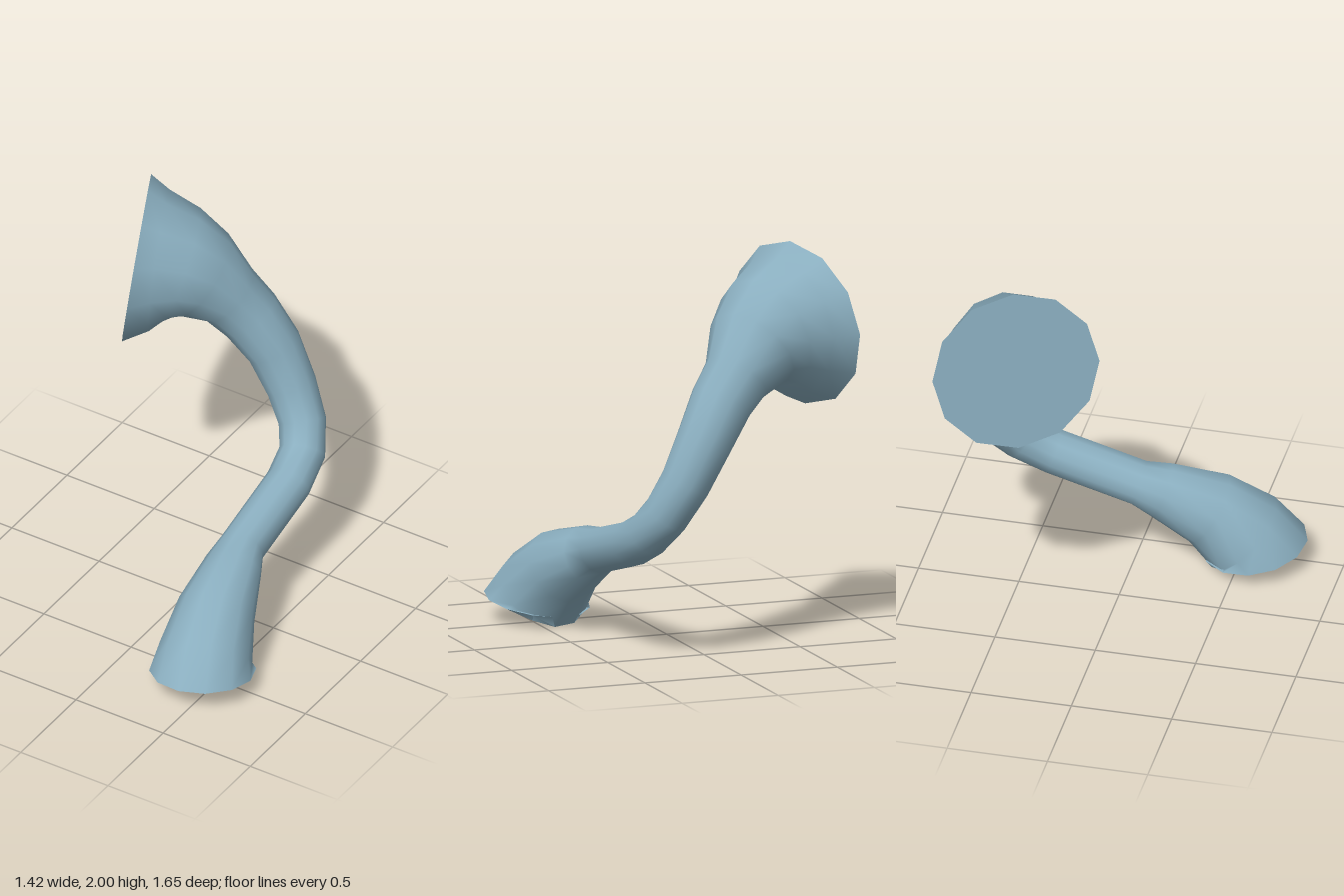
import * as THREE from 'three';

const SIDES = 12;

// Rings from the upper flare to the lower flare: x, y, z, radius
const RINGS = [
  [-0.53, 1.585, -0.388, 0.415],
  [-0.43, 1.58, -0.435, 0.35],
  [-0.33, 1.565, -0.48, 0.292],
  [-0.24, 1.51, -0.53, 0.235],
  [-0.13, 1.385, -0.6, 0.168],
  [-0.035, 1.275, -0.64, 0.155],
  [0.07, 1.1, -0.685, 0.14],
  [0.17, 0.9, -0.687, 0.126],
  [0.255, 0.745, -0.65, 0.118],
  [0.312, 0.635, -0.56, 0.114],
  [0.333, 0.557, -0.4, 0.113],
  [0.335, 0.44, 0.02, 0.113],
  [0.355, 0.4, 0.13, 0.142],
  [0.4, 0.3, 0.355, 0.192],
  [0.44, 0.16, 0.515, 0.23],
  [0.455, 0.094, 0.57, 0.26],
];

// Circular cross-sections carried along the path without twisting
function makeRings() {
  const centers = RINGS.map(([x, y, z]) => new THREE.Vector3(x, y, z));
  const path = new THREE.CatmullRomCurve3(centers);
  const last = RINGS.length - 1;
  const up = new THREE.Vector3(0.1, 0.83, -0.05);
  return centers.map((center, i) => {
    const t = path.getTangent(i / last);
    if (i === 0) t.set(0.745, -0.11, -0.36).normalize();
    if (i === last) t.set(0.09, -1, 0.15).normalize();
    up.addScaledVector(t, -up.dot(t)).normalize();
    const side = new THREE.Vector3().crossVectors(t, up);
    return Array.from({ length: SIDES }, (_, j) => {
      const a = (j / SIDES) * Math.PI * 2;
      return center.clone()
        .addScaledVector(up, Math.cos(a) * RINGS[i][3])
        .addScaledVector(side, Math.sin(a) * RINGS[i][3]);
    });
  });
}

function makeGeometry(points, index) {
  const g = new THREE.BufferGeometry().setFromPoints(points);
  g.setIndex(index);
  g.computeVertexNormals();
  return g;
}

// Smooth skin between neighbouring rings
function makeSkin(rings) {
  const index = [];
  for (let i = 0; i < rings.length - 1; i++) {
    for (let j = 0; j < SIDES; j++) {
      const k = (j + 1) % SIDES;
      const a = i * SIDES + j, b = i * SIDES + k;
      index.push(a, b, b + SIDES, a, b + SIDES, a + SIDES);
    }
  }
  return makeGeometry(rings.flat(), index);
}

// Flat end face
function makeCap(ring) {
  const index = [];
  for (let j = 1; j < SIDES - 1; j++) index.push(0, j, j + 1);
  return makeGeometry(ring, index);
}

export function createModel() {
  const group = new THREE.Group();
  group.name = 'flaredTube';
  const blue = new THREE.MeshStandardMaterial({ color: 0x8aaebf, side: THREE.DoubleSide });
  blue.name = 'greyBlue';
  const rings = makeRings();

  const add = (name, geometry) => {
    const mesh = new THREE.Mesh(geometry, blue);
    mesh.name = name;
    group.add(mesh);
  };
  add('tubeBody', makeSkin(rings));
  add('upperEnd', makeCap([...rings[0]].reverse()));
  add('lowerEnd', makeCap(rings[rings.length - 1]));
  return group;
}
